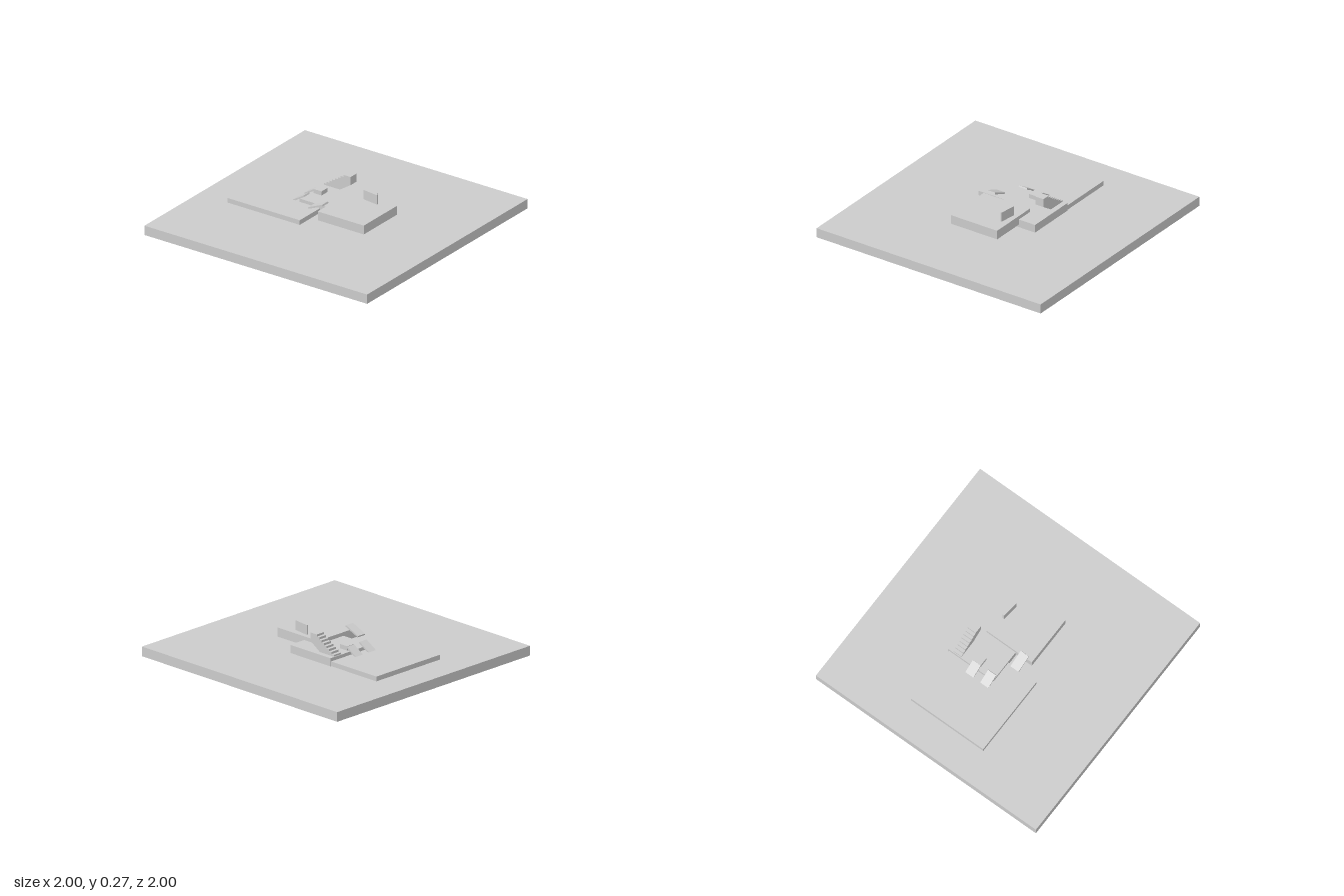
import * as THREE from 'three';

const material = new THREE.MeshStandardMaterial({ color: 0xcccccc, flatShading: true });

// Box given by its limits on each axis
function block(name, [x0, x1], [y0, y1], [z0, z1]) {
  const mesh = new THREE.Mesh(new THREE.BoxGeometry(x1 - x0, y1 - y0, z1 - z0), material);
  mesh.position.set((x0 + x1) / 2, (y0 + y1) / 2, (z0 + z1) / 2);
  mesh.name = name;
  return mesh;
}

// Thin slab whose top runs from a to b in the xy plane
function ramp(name, a, b, thickness, [z0, z1]) {
  const dx = b[0] - a[0], dy = b[1] - a[1], length = Math.hypot(dx, dy);
  const geometry = new THREE.BoxGeometry(length, thickness, z1 - z0);
  geometry.translate(length / 2, -thickness / 2, 0);
  const mesh = new THREE.Mesh(geometry, material);
  mesh.rotation.z = Math.atan2(dy, dx);
  mesh.position.set(a[0], a[1], (z0 + z1) / 2);
  mesh.name = name;
  return mesh;
}

// Flight of steps with a sloping underside and a deep top landing
function stairs(z0, z1) {
  const start = -0.27, end = -0.03, bottom = 0.135, run = 0.025, rise = 0.0163, count = 8;
  const shape = new THREE.Shape();
  shape.moveTo(start, bottom);
  for (let i = 0; i < count; i++) {
    const y = bottom + (i + 1) * rise;
    shape.lineTo(start + i * run, y);
    shape.lineTo(i === count - 1 ? end : start + (i + 1) * run, y);
  }
  shape.lineTo(end, 0.2);
  shape.lineTo(-0.13, bottom);
  const geometry = new THREE.ExtrudeGeometry(shape, { depth: z1 - z0, bevelEnabled: false });
  geometry.translate(0, 0, z0);
  const mesh = new THREE.Mesh(geometry, material);
  mesh.name = 'stairs';
  return mesh;
}

export function createModel() {
  const model = new THREE.Group();
  model.name = 'terraces';

  // Ground slab and the three terraces
  model.add(
    block('groundSlab', [-1, 1], [0, 0.075], [-1, 1]),
    block('lowTerrace', [-0.74, -0.09], [0.07, 0.112], [-0.33, 0.327]),
    block('middleTerrace', [-0.277, 0.135], [0.07, 0.138], [-0.337, 0.073]),
    block('highTerrace', [-0.005, 0.408], [0.095, 0.166], [-0.192, 0.22])
  );

  // Stairs, landing block and ramps
  model.add(
    stairs(-0.295, -0.223),
    block('landingBlock', [-0.248, -0.175], [0.137, 0.171], [-0.135, -0.063]),
    ramp('backRamp', [-0.345, 0.108], [-0.245, 0.17], 0.012, [-0.135, -0.063]),
    ramp('middleRamp', [-0.345, 0.108], [-0.242, 0.17], 0.012, [0, 0.072]),
    ramp('frontRamp', [-0.118, 0.155], [0.007, 0.208], 0.013, [0.11, 0.183])
  );

  // Small free-standing wall on the high terrace
  const wall = block('wall', [0.143, 0.277], [0.16, 0.241], [-0.147, -0.135]);
  wall.rotation.y = -0.13;
  model.add(wall);

  return model;
}
